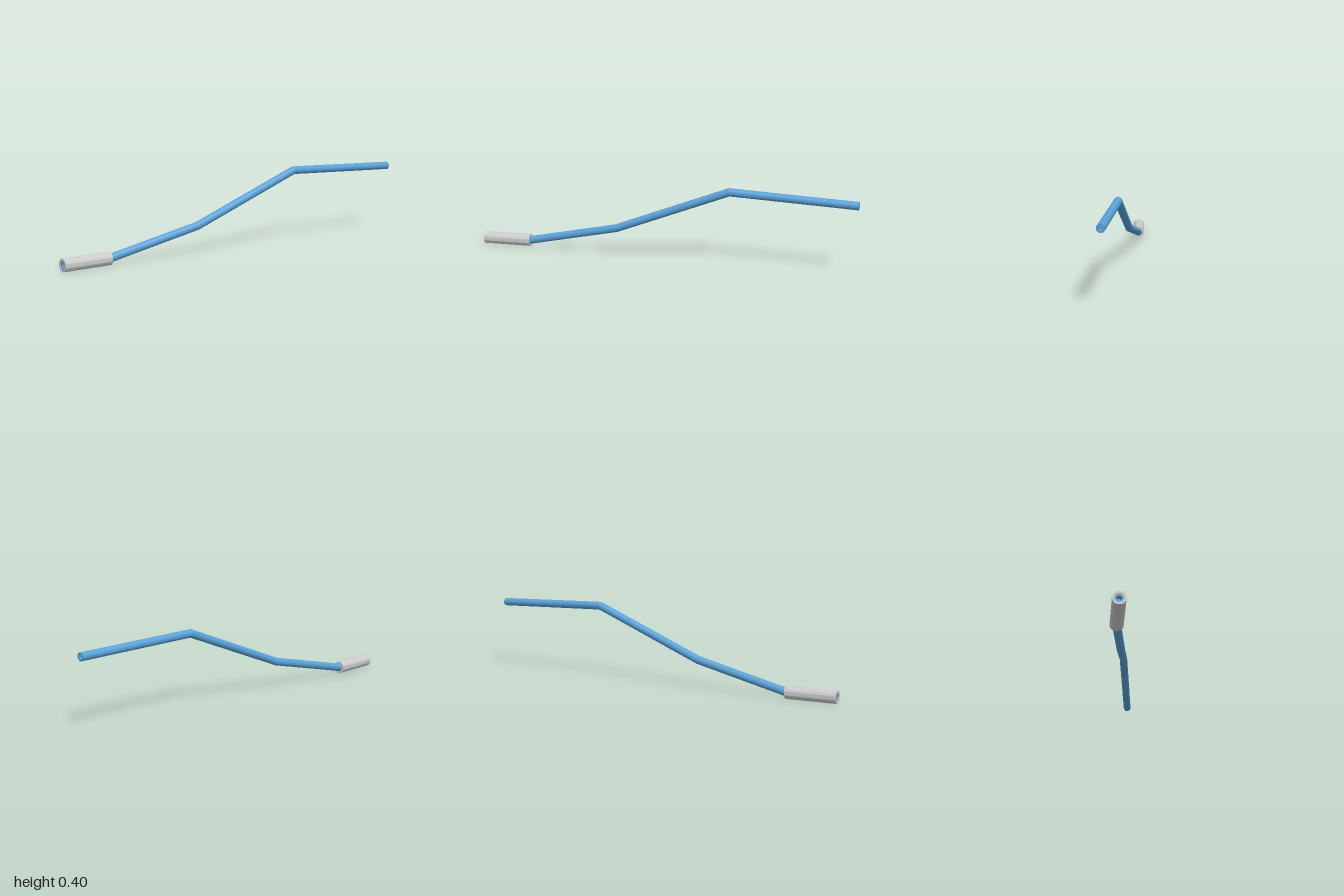
import * as THREE from 'three';
import { toCreasedNormals } from 'three/addons/utils/BufferGeometryUtils.js';

const SIDES = 48;
const ROD_R = 0.0205;
const path = [
  [-0.996, 0.032, -0.065], [-0.745, 0.032, -0.065], [-0.25, 0.142, -0.021],
  [0.35, 0.378, 0.021], [0.999, 0.359, 0.076],
].map((p) => new THREE.Vector3(...p));
const dirs = path.slice(1).map((p, i) => p.clone().sub(path[i]).normalize());

// Radius rules for the cross-sections
const round = () => ROD_R;
const hex = (a) => 0.0115 / Math.cos((a % (Math.PI / 3)) - Math.PI / 6);
const centre = () => 0;

// Cross-section at path point i, slid along each straight onto the mitre planes
function section(i, radius, shift = 0) {
  const pts = [];
  for (let j = 0; j < SIDES; j++) {
    const a = (j / SIDES) * Math.PI * 2;
    const r = radius(a);
    const p = path[0].clone().add(new THREE.Vector3(0, r * Math.cos(a), r * Math.sin(a)));
    for (let k = 1; k <= i; k++) {
      const d = dirs[k - 1];
      const n = d.clone().add(dirs[k] ?? d).normalize();
      p.addScaledVector(d, path[k].clone().sub(p).dot(n) / d.dot(n));
    }
    pts.push(p.addScaledVector(dirs[Math.min(i, dirs.length - 1)], shift));
  }
  return pts;
}

// Skin a list of rings, leaving out collapsed triangles
function loft(rings) {
  const pos = [];
  const tri = (a, b, c) => {
    if (new THREE.Triangle(a, b, c).getArea() > 1e-10) {
      for (const v of [a, b, c]) pos.push(v.x, v.y, v.z);
    }
  };
  for (let i = 0; i < rings.length - 1; i++) {
    for (let j = 0; j < SIDES; j++) {
      const k = (j + 1) % SIDES;
      const [a, b] = [rings[i], rings[i + 1]];
      tri(a[j], a[k], b[j]);
      tri(a[k], b[k], b[j]);
    }
  }
  const g = new THREE.BufferGeometry();
  g.setAttribute('position', new THREE.Float32BufferAttribute(pos, 3));
  return toCreasedNormals(g, 0.16);
}

export function createModel() {
  const group = new THREE.Group();
  const last = path.length - 1;

  // Bent rod with a hexagonal socket sunk into each end
  const rod = new THREE.Mesh(
    loft([
      section(0, centre, 0.03), section(0, hex, 0.03), section(0, hex),
      ...path.map((_, i) => section(i, round)),
      section(last, hex), section(last, hex, -0.03), section(last, centre, -0.03),
    ]),
    new THREE.MeshStandardMaterial({ color: 0x5aa2d8 }),
  );
  rod.name = 'bentRod';
  group.add(rod);

  // Grip sleeve around the lower end
  const profile = [[0.0205, 0], [0.032, 0], [0.032, 0.257], [0.0205, 0.257], [0.0205, 0]]
    .map((p) => new THREE.Vector2(...p));
  const sleeveGeometry = toCreasedNormals(new THREE.LatheGeometry(profile, SIDES), 0.5);
  sleeveGeometry.rotateZ(-Math.PI / 2);
  const sleeve = new THREE.Mesh(sleeveGeometry, new THREE.MeshStandardMaterial({ color: 0xcccccc }));
  sleeve.name = 'gripSleeve';
  sleeve.position.set(-1, 0.032, -0.065);
  group.add(sleeve);

  return group;
}
